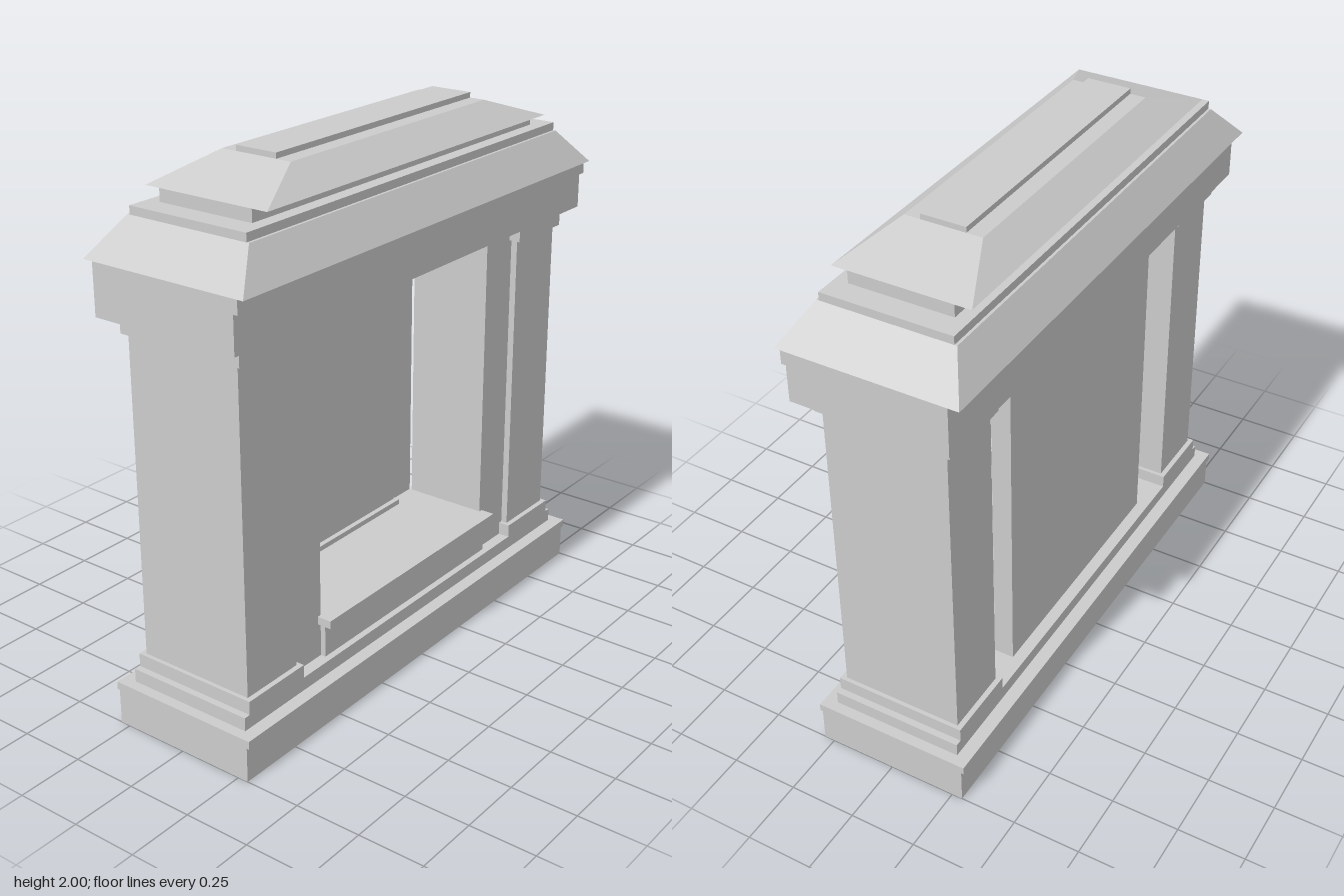
import * as THREE from 'three';

const stone = new THREE.MeshStandardMaterial({ color: 0xcccccc, flatShading: true });

// Box given by its limits on each axis
function block(parent, name, [x0, x1], [y0, y1], [z0, z1]) {
  const mesh = new THREE.Mesh(new THREE.BoxGeometry(x1 - x0, y1 - y0, z1 - z0), stone);
  mesh.name = name;
  mesh.position.set((x0 + x1) / 2, (y0 + y1) / 2, (z0 + z1) / 2);
  parent.add(mesh);
}

// Centred box given by half width and half depth
const slab = (parent, name, hx, y, hz) => block(parent, name, [-hx, hx], y, [-hz, hz]);

// Hipped slab: a box whose top corners are drawn inwards
function hip(parent, name, [y0, y1], bottom, top) {
  const geo = new THREE.BoxGeometry(2, y1 - y0, 2);
  geo.translate(0, (y0 + y1) / 2, 0);
  const p = geo.attributes.position;
  for (let i = 0; i < p.count; i++) {
    const [hx, hz] = p.getY(i) > (y0 + y1) / 2 ? top : bottom;
    p.setX(i, p.getX(i) * hx);
    p.setZ(i, p.getZ(i) * hz);
  }
  geo.computeVertexNormals();
  const mesh = new THREE.Mesh(geo, stone);
  mesh.name = name;
  parent.add(mesh);
}

export function createModel() {
  const model = new THREE.Group();
  model.name = 'monument';

  // Stepped base
  slab(model, 'base', 1, [0, 0.13], 0.29);
  slab(model, 'baseLip', 1, [0.13, 0.16], 0.3);
  slab(model, 'plinth', 0.96, [0.16, 0.21], 0.25);

  // Piers with foot and capital, and the jambs beside the niche
  for (const side of [1, -1]) {
    const pier = new THREE.Group();
    pier.name = side > 0 ? 'leftPier' : 'rightPier';
    const span = (a, b) => (side > 0 ? [a, b] : [-b, -a]);
    block(pier, 'pierFoot', span(0.65, 0.935), [0.21, 0.26], [-0.25, 0.25]);
    block(pier, 'pierShaft', span(0.665, 0.92), [0.26, 1.44], [-0.23, 0.23]);
    block(pier, 'pierCapital', span(0.65, 0.935), [1.44, 1.505], [-0.25, 0.25]);
    block(pier, 'jamb', span(0.5, 0.665), [0.21, 1.505], [-0.12, 0.205]);
    model.add(pier);
  }

  // Niche: back wall, bench wall with sill, framed tablet
  const niche = new THREE.Group();
  niche.name = 'niche';
  block(niche, 'backWall', [-0.5, 0.5], [0.21, 1.505], [-0.205, -0.13]);
  block(niche, 'benchWall', [-0.5, 0.5], [0.21, 0.34], [-0.13, 0.225]);
  block(niche, 'sillFloor', [-0.5, 0.5], [0.34, 0.37], [-0.13, 0.205]);
  block(niche, 'sillNosing', [-0.515, 0.515], [0.34, 0.37], [0.205, 0.26]);
  block(niche, 'tabletFoot', [-0.365, 0.365], [0.37, 0.39], [-0.13, -0.085]);
  block(niche, 'tablet', [-0.355, 0.355], [0.39, 1.425], [-0.13, -0.105]);
  block(niche, 'tabletCap', [-0.368, 0.368], [1.425, 1.465], [-0.13, -0.085]);
  model.add(niche);

  // Beam with a front band, then the stepped and hipped roof
  const roof = new THREE.Group();
  roof.name = 'roof';
  slab(roof, 'beam', 1, [1.505, 1.69], 0.29);
  block(roof, 'beamBand', [-1, 1], [1.64, 1.69], [0.29, 0.307]);
  hip(roof, 'lowerRoof', [1.69, 1.82], [1, 0.33], [0.875, 0.25]);
  slab(roof, 'lowerRoofCap', 0.875, [1.82, 1.85], 0.24);
  slab(roof, 'roofNeck', 0.79, [1.85, 1.895], 0.19);
  hip(roof, 'upperRoof', [1.895, 1.98], [0.79, 0.25], [0.545, 0.142]);
  slab(roof, 'ridge', 0.545, [1.98, 2], 0.083);
  model.add(roof);

  return model;
}
